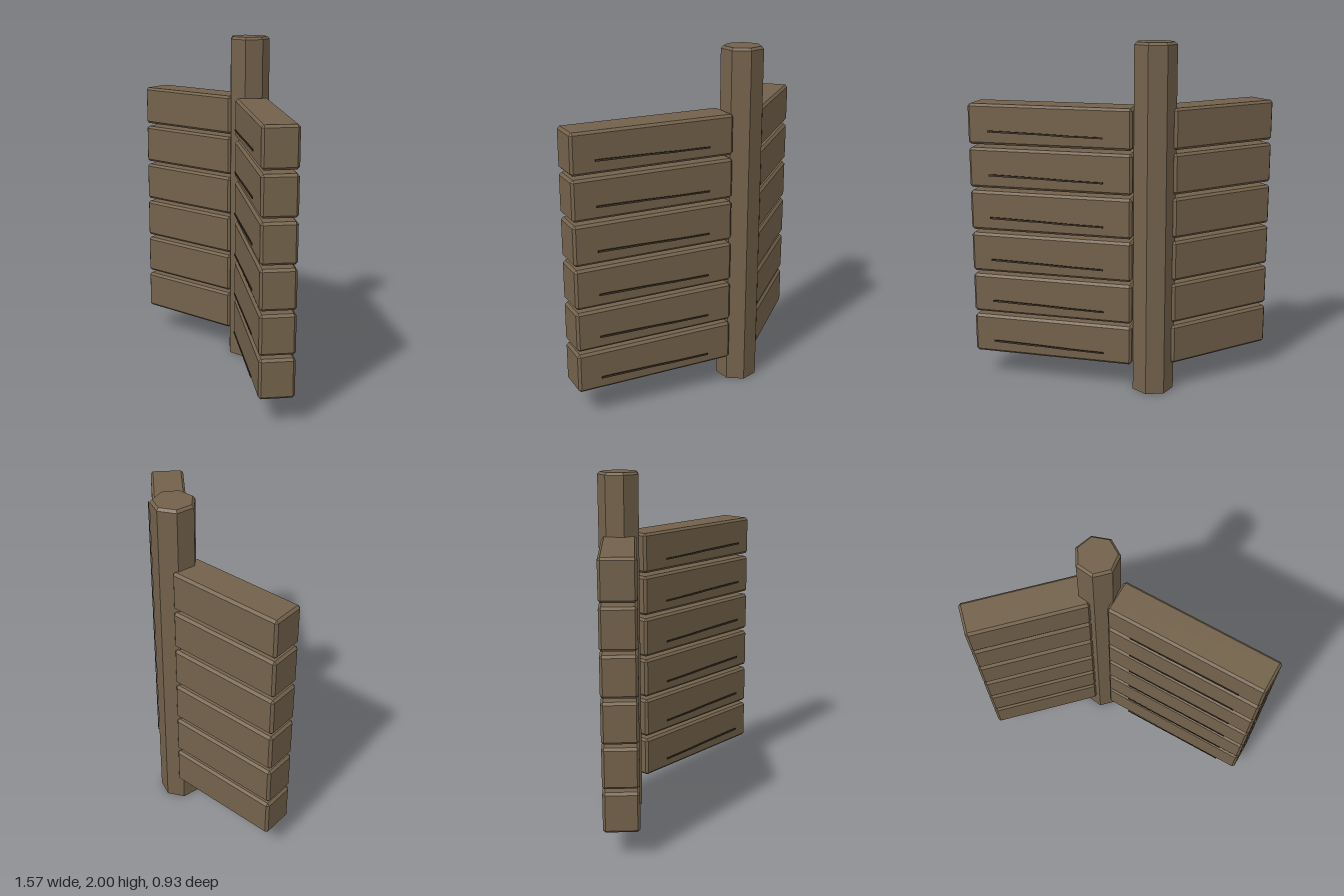
import * as THREE from 'three';
import { ConvexGeometry } from 'three/addons/geometries/ConvexGeometry.js';

const wood = new THREE.MeshStandardMaterial({ color: 0x73624b });
wood.name = 'wood';
const darkGrain = new THREE.MeshStandardMaterial({ color: 0x43352a });
darkGrain.name = 'darkGrain';

// Box with every edge cut by a flat chamfer
function chamferedBox(w, h, d, c) {
  const points = [];
  for (const x of [-1, 1]) for (const y of [-1, 1]) for (const z of [-1, 1]) {
    const [a, b, e] = [w / 2, h / 2, d / 2];
    points.push(
      new THREE.Vector3(x * a, y * (b - c), z * (e - c)),
      new THREE.Vector3(x * (a - c), y * b, z * (e - c)),
      new THREE.Vector3(x * (a - c), y * (b - c), z * e));
  }
  return new ConvexGeometry(points);
}

// Thin jagged crack, rising slightly towards the free end
function crackGeometry() {
  const outline = [
    [-0.315, -0.010], [-0.12, -0.007], [-0.1, -0.008], [0.07, -0.002], [0.1, -0.003], [0.353, 0.001],
    [0.353, 0.011], [0.3, 0.011], [0.09, 0.007], [-0.07, 0.003], [-0.12, 0.001], [-0.315, -0.001],
  ].map(([x, y]) => new THREE.Vector2(x, y));
  const geometry = new THREE.ExtrudeGeometry(new THREE.Shape(outline), { depth: 0.006, bevelEnabled: false });
  return geometry.translate(0, 0, -0.003);
}

function addMesh(parent, name, geometry, material, x, y, z) {
  const mesh = new THREE.Mesh(geometry, material);
  mesh.name = name;
  mesh.position.set(x, y, z);
  parent.add(mesh);
}

export function createModel() {
  const model = new THREE.Group();
  model.name = 'plankFence';

  // Seven-sided post with a chamfered top
  const r = 0.121, cut = 0.014;
  const shaft = new THREE.CylinderGeometry(r, r, 2 - cut, 7, 1).toNonIndexed();
  shaft.computeVertexNormals();
  const cap = new THREE.CylinderGeometry(r - cut, r, cut, 7, 1).toNonIndexed();
  cap.computeVertexNormals();
  const post = new THREE.Group();
  post.name = 'post';
  post.position.set(-0.028, 0, -0.344);
  post.rotation.y = Math.PI;
  addMesh(post, 'postShaft', shaft, wood, 0, 1 - cut / 2, 0);
  addMesh(post, 'postTop', cap, wood, 0, 2 - cut / 2, 0);
  model.add(post);

  // Two stacks of six planks; the longer one swings forward at 45 degrees
  const straight = new THREE.Group();
  straight.name = 'straightPanel';
  straight.position.set(-0.44, 0, -0.346);
  const angled = new THREE.Group();
  angled.name = 'angledPanel';
  angled.position.set(0.385, 0, 0.065);
  angled.rotation.y = -Math.PI / 4;
  model.add(straight, angled);

  const shortPlank = chamferedBox(0.685, 0.231, 0.2, 0.014);
  const longPlank = chamferedBox(0.955, 0.231, 0.2, 0.014);
  const crack = crackGeometry();
  for (let i = 0; i < 6; i++) {
    const y = 0.2755 + i * 0.2508;
    addMesh(straight, 'shortPlank', shortPlank, wood, 0, y, 0);
    addMesh(angled, 'longPlank', longPlank, wood, 0, y, 0);
    // Grain cracks stand just off both faces
    for (const side of [-1, 1]) addMesh(angled, 'grainCrack', crack, darkGrain, -0.003, y - 0.041, side * 0.122);
  }
  return model;
}
